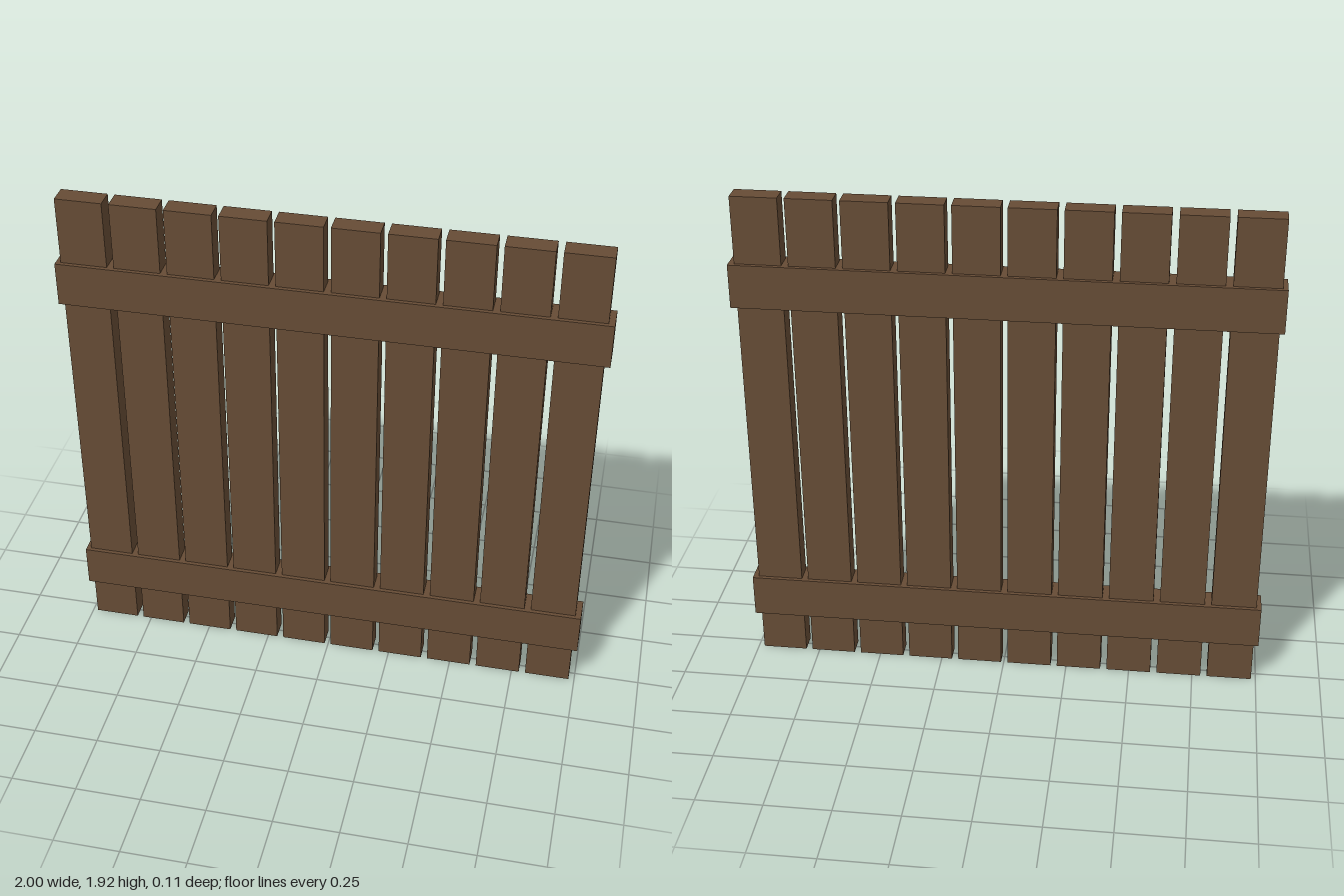
import * as THREE from 'three';

const PLANKS = 10;
const PITCH = 0.1985;
const HEIGHT = 1.925;

export function createModel() {
  const group = new THREE.Group();
  group.name = 'fencePanel';
  const wood = new THREE.MeshStandardMaterial({ color: 0x664c35, flatShading: true });

  const addBoard = (name, width, height, depth, x, y) => {
    const board = new THREE.Mesh(new THREE.BoxGeometry(width, height, depth), wood);
    board.name = name;
    board.position.set(x, y, 0);
    group.add(board);
  };

  // Upright planks, spaced with narrow gaps
  for (let i = 0; i < PLANKS; i++) {
    const x = -0.002 + (i - (PLANKS - 1) / 2) * PITCH;
    addBoard(`plank${i + 1}`, 0.173, HEIGHT, 0.075, x, HEIGHT / 2);
  }

  // Cross rails, thicker than the planks so they stand proud on both faces
  addBoard('lowerRail', 2, 0.167, 0.106, 0, 0.253);
  addBoard('upperRail', 2, 0.167, 0.106, 0, 1.585);

  return group;
}
